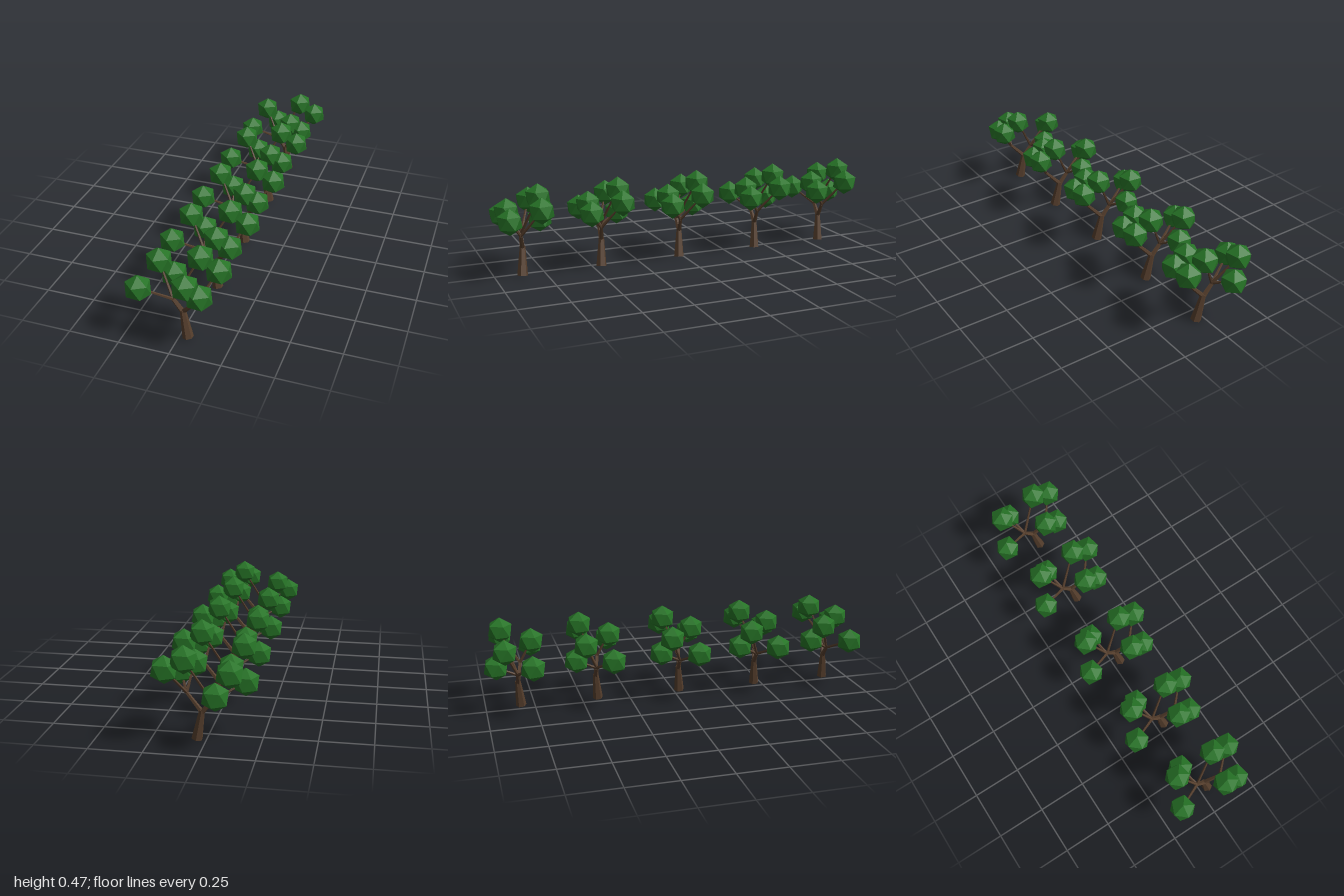
import * as THREE from 'three';

const bark = new THREE.MeshStandardMaterial({ color: 0x553e2c, flatShading: true });
const leaf = new THREE.MeshStandardMaterial({ color: 0x267326, flatShading: true });
const UP = new THREE.Vector3(0, 1, 0);

// Tapered limb between two points
function limb(name, from, to, r0, r1, sides = 5) {
  const a = new THREE.Vector3(...from), b = new THREE.Vector3(...to);
  const dir = b.clone().sub(a);
  const mesh = new THREE.Mesh(new THREE.CylinderGeometry(r1, r0, dir.length(), sides), bark);
  mesh.position.copy(a).add(b).multiplyScalar(0.5);
  mesh.quaternion.setFromUnitVectors(UP, dir.normalize());
  mesh.name = name;
  return mesh;
}

// Icosahedron standing on a vertex
const clumpGeometry = new THREE.IcosahedronGeometry(0.067, 0);
clumpGeometry.applyQuaternion(new THREE.Quaternion().setFromUnitVectors(
  new THREE.Vector3(0, 1, (1 + Math.sqrt(5)) / 2).normalize(), UP));
clumpGeometry.rotateY(-0.1);

function createTree() {
  const tree = new THREE.Group();
  const base = [0.043, 0.005, 0.03], fork = [0.016, 0.148, 0.018];
  const leftFork = [-0.03, 0.195, 0.015], rightFork = [0.09, 0.22, 0.04];

  // Leaf clump centres, each with the fork its branch grows from
  const clumps = [
    [[-0.172, 0.271, 0.08], leftFork],
    [[-0.12, 0.348, -0.05], leftFork],
    [[-0.065, 0.257, -0.093], leftFork],
    [[0.082, 0.405, -0.052], leftFork],
    [[0.17, 0.354, -0.048], rightFork],
    [[0.065, 0.342, 0.1], rightFork],
    [[0.13, 0.304, 0.1], rightFork],
  ];

  // Trunk and the two main boughs
  tree.add(limb('trunk', base, fork, 0.027, 0.014, 6));
  tree.add(limb('leftBough', [0.016, 0.138, 0.018], leftFork, 0.013, 0.01));
  tree.add(limb('rightBough', [0.016, 0.138, 0.018], rightFork, 0.012, 0.008));

  // Thin branches with leaf clumps
  for (const [centre, start] of clumps) {
    tree.add(limb('branch', start, centre, 0.008, 0.004));
    const clump = new THREE.Mesh(clumpGeometry, leaf);
    clump.position.set(...centre);
    clump.name = 'leafClump';
    tree.add(clump);
  }
  return tree;
}

export function createModel() {
  const model = new THREE.Group();
  model.name = 'treeRow';
  // Row of five trees along z
  [-0.85, -0.447, 0, 0.43, 0.838].forEach((z, i) => {
    const tree = createTree();
    tree.name = `tree${i + 1}`;
    tree.position.z = z;
    model.add(tree);
  });
  return model;
}
